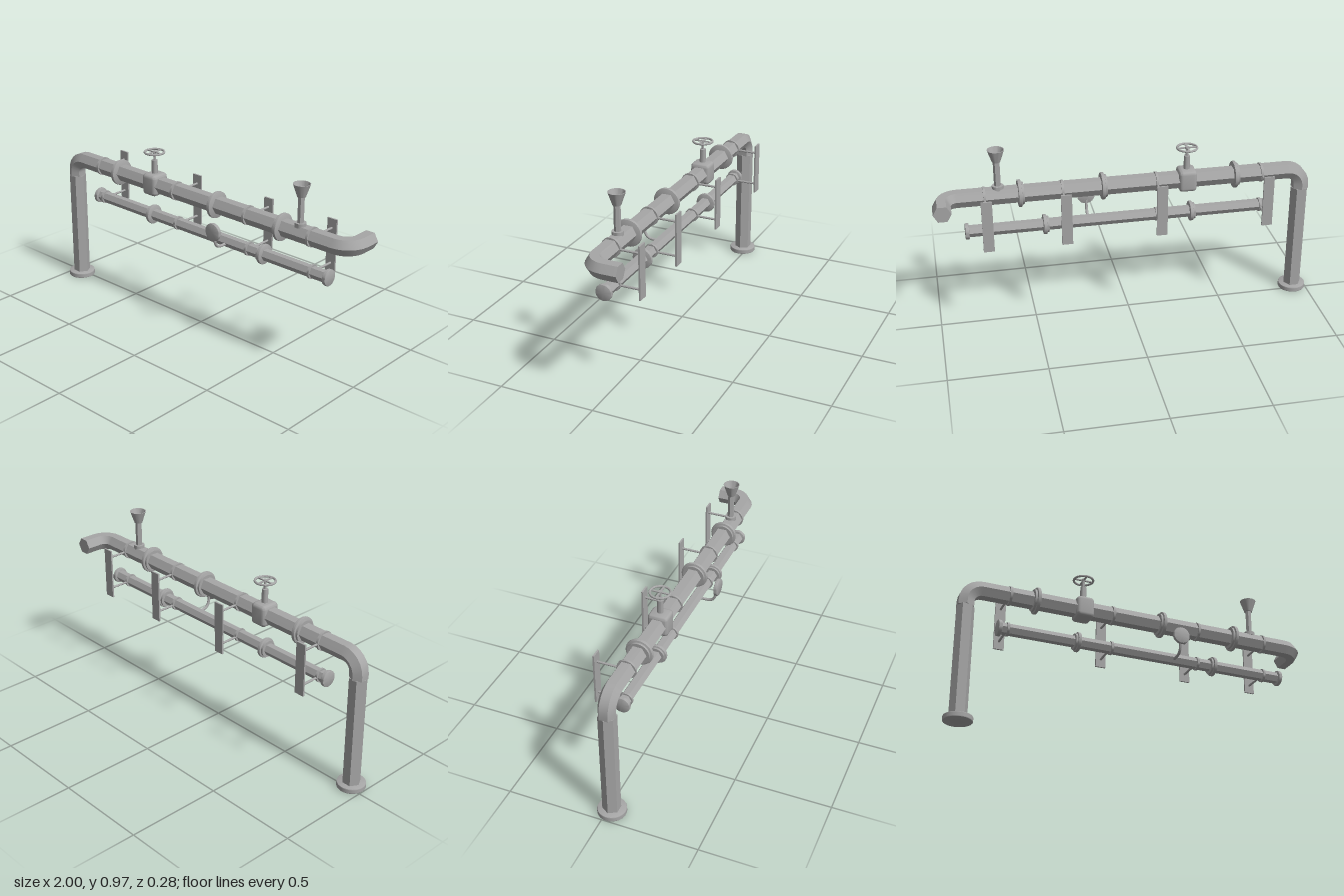
import * as THREE from 'three';
import { toCreasedNormals } from 'three/addons/utils/BufferGeometryUtils.js';
import { RoundedBoxGeometry } from 'three/addons/geometries/RoundedBoxGeometry.js';

const MAIN_Y = 0.72, MAIN_Z = 0.022, LOW_Y = 0.536, LOW_Z = 0.012;
const HEX = Math.PI / 6;

export function createModel() {
  const model = new THREE.Group();
  const steel = new THREE.MeshStandardMaterial({ color: 0xa6a6a6 });
  steel.name = 'steel grey';

  const add = (name, geo, x = 0, y = 0, z = 0, parent = model) => {
    const mesh = new THREE.Mesh(toCreasedNormals(geo, 0.6), steel);
    mesh.name = name;
    mesh.position.set(x, y, z);
    parent.add(mesh);
    return mesh;
  };
  const cyl = (r, h, sides = 28) => new THREE.CylinderGeometry(r, r, h, sides);
  // disc or pipe lying along x; six-sided ones have flat tops and a ridge facing front
  const alongX = (r, w, sides = 28) => cyl(r, w, sides).rotateZ(Math.PI / 2);
  // disc with softened rims, standing along y
  const softDisc = (r, h, b = 0.005) => new THREE.LatheGeometry([
    [0, -h / 2], [r - b, -h / 2], [r - b * 0.3, -h / 2 + b * 0.3], [r, -h / 2 + b],
    [r, h / 2 - b], [r - b * 0.3, h / 2 - b * 0.3], [r - b, h / 2], [0, h / 2],
  ].map(([x, y]) => new THREE.Vector2(x, y)), 32);

  // Main six-sided pipe with a downward elbow and a backward elbow
  add('mainPipe', mainPipeGeometry());

  // Upright leg and its foot
  add('leg', cyl(0.046, 0.6, 6).rotateY(Math.PI / 2), -0.928, 0.316, MAIN_Z);
  add('footFlange', softDisc(0.073, 0.028), -0.927, 0.014, MAIN_Z + 0.001);

  // Lower pipe with end caps
  add('lowerPipe', alongX(0.031, 1.57, 6), 0.04, LOW_Y, LOW_Z);
  for (const x of [-0.75, 0.83]) {
    add('endCap', softDisc(0.042, 0.02, 0.004).rotateZ(Math.PI / 2), x, LOW_Y, LOW_Z);
  }

  // Stepped joint flanges on both pipes
  const flange = (x, y, z, r) => {
    const g = new THREE.Group();
    g.name = 'jointFlange';
    g.position.set(x, y, z);
    model.add(g);
    add('flangeDisc', softDisc(r, 0.018, 0.004).rotateZ(Math.PI / 2), 0.004, 0, 0, g);
    add('flangeCollar', alongX(r * 0.83, 0.012), -0.01, 0, 0, g);
  };
  for (const x of [-0.57, 0.126, 0.55]) flange(x, MAIN_Y, MAIN_Z + 0.002, 0.07);
  for (const x of [-0.338, 0.43]) flange(x, LOW_Y, LOW_Z, 0.052);

  // Wall brackets: plate, two rods and two pipe clamps each
  for (const x of [-0.707, -0.15, 0.338, 0.733]) {
    const g = new THREE.Group();
    g.name = 'wallBracket';
    g.position.x = x;
    model.add(g);
    add('wallPlate', new THREE.BoxGeometry(0.055, 0.276, 0.009), 0, 0.628, -0.135, g);
    for (const [y, z, r] of [[MAIN_Y, MAIN_Z, 0.05], [LOW_Y, LOW_Z, 0.036]]) {
      add('pipeClamp', alongX(r, 0.012), 0, y, z, g);
      add('bracketRod', cyl(0.006, z + 0.133, 10).rotateX(Math.PI / 2), 0, y - 0.002, (z - 0.133) / 2, g);
    }
  }

  // Valve with handwheel
  const valve = new THREE.Group();
  valve.name = 'valve';
  valve.position.set(-0.311, 0, MAIN_Z);
  model.add(valve);
  add('valveBody', new RoundedBoxGeometry(0.094, 0.115, 0.106, 3, 0.02), 0, 0.722, 0, valve);
  add('valveNeck', cyl(0.016, 0.08, 16), 0, 0.812, 0, valve);
  add('valveStem', cyl(0.007, 0.06, 12), 0, 0.87, 0, valve);
  add('wheelRim', new THREE.TorusGeometry(0.051, 0.006, 8, 32).rotateX(Math.PI / 2), 0, 0.895, 0, valve);
  add('wheelHub', cyl(0.011, 0.012, 16), 0, 0.895, 0, valve);
  for (const turn of [0, Math.PI / 2]) {
    add('wheelSpoke', new THREE.BoxGeometry(0.1, 0.006, 0.009).rotateY(turn), 0, 0.895, 0, valve);
  }

  // Filling funnel, hollow at the top
  const funnel = new THREE.Group();
  funnel.name = 'fillingFunnel';
  funnel.position.set(0.662, 0, MAIN_Z + 0.002);
  model.add(funnel);
  add('funnelBase', cyl(0.029, 0.022, 24), 0, 0.764, 0, funnel);
  add('funnelPipe', cyl(0.017, 0.16, 6).rotateY(HEX), 0, 0.83, 0, funnel);
  add('funnelCone', new THREE.LatheGeometry([
    [0, 0.905], [0.021, 0.905], [0.043, 0.97], [0.039, 0.97], [0.017, 0.915], [0, 0.915],
  ].map(([x, y]) => new THREE.Vector2(x, y)), 28), 0, 0, 0, funnel);

  // Pressure gauge on a curved tube
  const path = new THREE.CatmullRomCurve3([
    [0.53, 0.02], [0.529, 0.07], [0.533, 0.09], [0.545, 0.106], [0.57, 0.116], [0.6, 0.12],
  ].map(([y, z]) => new THREE.Vector3(0.2, y, z)));
  add('gaugeTube', new THREE.TubeGeometry(path, 20, 0.0075, 10));
  add('gaugeDial', softDisc(0.046, 0.02, 0.005).rotateX(Math.PI / 2), 0.2, 0.623, 0.128);

  return model;
}

// Sweeps a hexagon along the pipe path, keeping its flat side up
function mainPipeGeometry() {
  const R = 0.08, STEPS = 6, rad = 0.046;
  const xl = -0.93, xr = 0.949;
  const rings = []; // centre, sideways axis, upward axis
  const ring = (p, s, u) => rings.push({ p, s, u });
  const V = (x, y, z) => new THREE.Vector3(x, y, z);
  ring(V(xl, 0.614, MAIN_Z), V(0, 0, 1), V(-1, 0, 0));
  for (let i = 0; i <= STEPS; i++) {
    const a = (i / STEPS) * Math.PI / 2, c = Math.cos(a), s = Math.sin(a);
    ring(V(xl + R - R * c, MAIN_Y - R + R * s, MAIN_Z), V(0, 0, 1), V(-c, s, 0));
  }
  for (let i = 0; i <= STEPS; i++) {
    const a = (i / STEPS) * Math.PI / 2, c = Math.cos(a), s = Math.sin(a);
    ring(V(xr - R + R * s, MAIN_Y, MAIN_Z - R + R * c), V(s, 0, c), V(0, 1, 0));
  }
  ring(V(xr, MAIN_Y, -0.139), V(1, 0, 0), V(0, 1, 0));

  const pos = [], idx = [];
  for (const { p, s, u } of rings) {
    for (let j = 0; j < 6; j++) {
      const a = j * Math.PI / 3;
      pos.push(...p.clone().addScaledVector(s, rad * Math.cos(a)).addScaledVector(u, rad * Math.sin(a)).toArray());
    }
  }
  const last = (rings.length - 1) * 6;
  for (let i = 0; i < last; i += 6) {
    for (let j = 0; j < 6; j++) {
      const k = (j + 1) % 6;
      idx.push(i + j, i + 6 + j, i + k, i + k, i + 6 + j, i + 6 + k);
    }
  }
  for (let j = 1; j < 5; j++) idx.push(0, j, j + 1, last, last + j + 1, last + j);
  const geo = new THREE.BufferGeometry();
  geo.setAttribute('position', new THREE.Float32BufferAttribute(pos, 3));
  geo.setIndex(idx);
  return geo;
}
